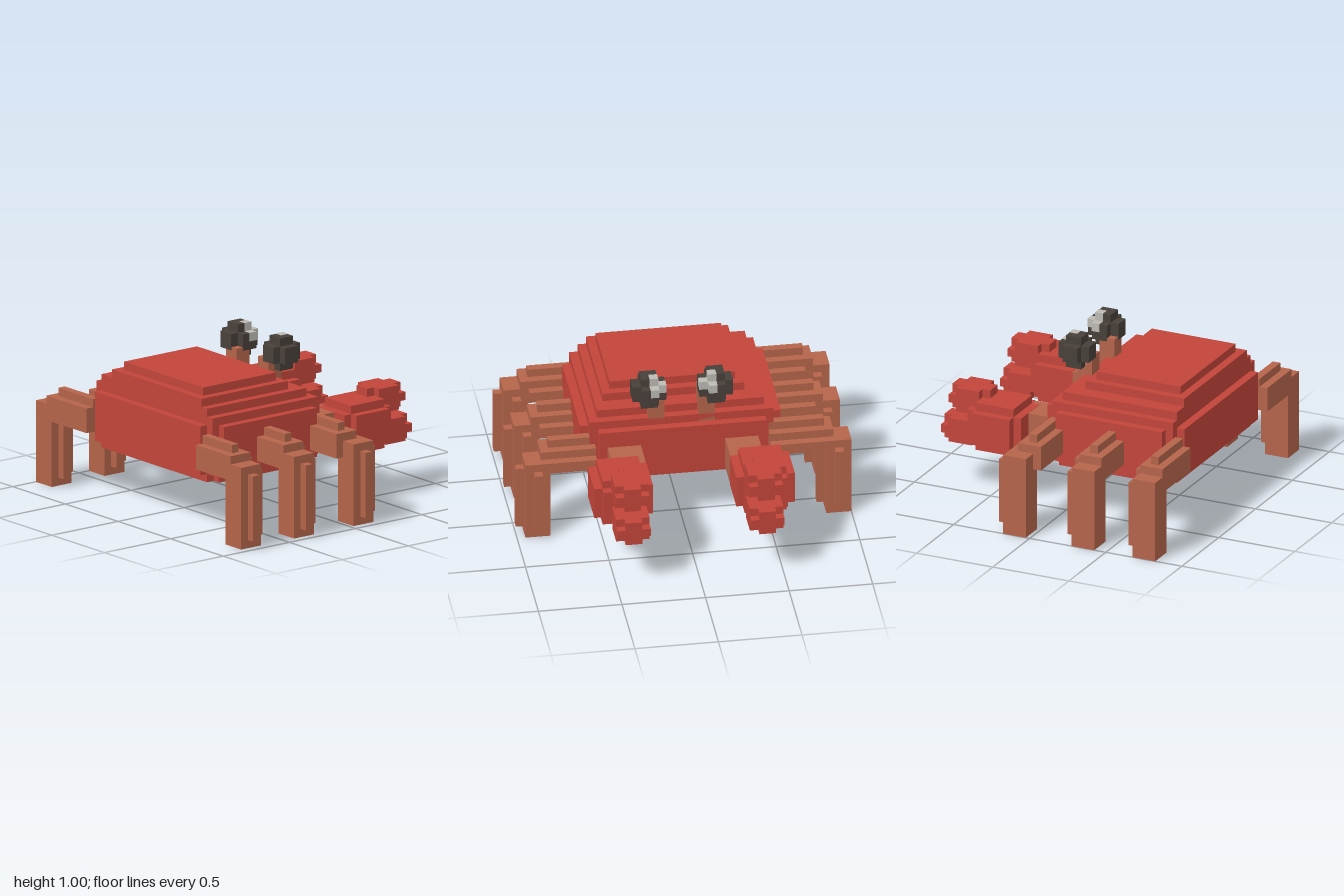
import * as THREE from 'three';
import { mergeGeometries } from 'three/addons/utils/BufferGeometryUtils.js';

const V = 0.05; // edge of one block

const mat = (name, color) => {
  const m = new THREE.MeshStandardMaterial({ color });
  m.name = name;
  return m;
};

// Box from its extents
function box(x0, x1, y0, y1, z0, z1) {
  return new THREE.BoxGeometry(x1 - x0, y1 - y0, z1 - z0)
    .translate((x0 + x1) / 2, (y0 + y1) / 2, (z0 + z1) / 2);
}

// Blocky ball: every edge loses one row of blocks
function blob(x0, x1, y0, y1, z0, z1) {
  return [
    box(x0, x1, y0 + V, y1 - V, z0 + V, z1 - V),
    box(x0 + V, x1 - V, y0, y1, z0 + V, z1 - V),
    box(x0 + V, x1 - V, y0 + V, y1 - V, z0, z1),
  ];
}

// Box with only its eight corner blocks missing
function chipped(x0, x1, y0, y1, z0, z1) {
  return [
    box(x0 + V, x1 - V, y0, y1, z0, z1),
    box(x0, x1, y0 + V, y1 - V, z0, z1),
    box(x0, x1, y0, y1, z0 + V, z1 - V),
  ];
}

function part(parent, name, material, boxes) {
  const mesh = new THREE.Mesh(mergeGeometries(boxes), material);
  mesh.name = name;
  parent.add(mesh);
}

// Box placed on the +z or -z side by distance from the middle
function sideBox(s, x0, x1, y0, y1, a, b) {
  return box(x0, x1, y0, y1, Math.min(s * a, s * b), Math.max(s * a, s * b));
}

export function createModel() {
  const red = mat('shell red', 0xc2453a);
  const brown = mat('limb brown', 0xb4644a);
  const dark = mat('eye dark', 0x48403a);
  const light = mat('eye light', 0xbdbab3);
  const crab = new THREE.Group();
  crab.name = 'crab';

  // Shell: wide belly with clipped corners, then shrinking layers
  part(crab, 'shell', red, [
    box(-0.725, 0.075, 0.3, 0.35, -0.5, 0.5),
    box(-0.675, 0.025, 0.3, 0.35, -0.55, 0.55),
    box(-0.775, 0.125, 0.35, 0.65, -0.5, 0.5),
    box(-0.725, 0.075, 0.35, 0.65, -0.55, 0.55),
    box(-0.675, 0.025, 0.35, 0.65, -0.6, 0.6),
    box(-0.725, 0.075, 0.65, 0.7, -0.55, 0.55),
    box(-0.725, 0.025, 0.7, 0.75, -0.5, 0.5),
    box(-0.725, -0.075, 0.75, 0.8, -0.4, 0.45),
    box(-0.675, -0.125, 0.8, 0.85, -0.35, 0.4),
  ]);

  for (const s of [1, -1]) {
    const side = s > 0 ? 'front' : 'back';

    // Walking legs: ridged thigh out from the shell, shin down to the ground
    [-0.825, -0.425, 0.025].forEach((x, i) => {
      const leg = new THREE.Group();
      leg.name = `${side}Leg${i + 1}`;
      crab.add(leg);
      const ax = i === 2 ? x - V : x;
      const reach = s > 0 ? 0.85 : 0.9;
      const z0 = s > 0 ? 0.8 : -1;
      part(leg, 'thigh', brown, [
        sideBox(s, ax, ax + 0.15, 0.4, 0.55, 0.52, reach),
        sideBox(s, ax + V, ax + 0.1, 0.55, 0.6, 0.52, reach - V),
        sideBox(s, ax + 0.15, ax + 0.2, 0.45, 0.5, 0.52, reach - V),
      ]);
      part(leg, 'shin', brown, [
        box(x, x + 0.15, 0, 0.5, z0, z0 + 0.15),
        box(x + V, x + 0.1, 0.05, 0.45, z0 + 0.15, z0 + 0.2),
        box(x + 0.15, x + 0.2, 0.05, 0.45, z0 + V, z0 + 0.1),
      ]);
    });

    // Claw: arm, rounded palm and two pincers
    const claw = new THREE.Group();
    claw.name = `${side}Claw`;
    crab.add(claw);
    const [p0, p1] = s > 0 ? [0.25, 0.6] : [-0.6, -0.25];
    const [q0, q1] = s > 0 ? [0.3, 0.5] : [-0.5, -0.3];
    part(claw, 'arm', brown, [sideBox(s, 0.06, 0.325, 0.352, 0.548, 0.252, 0.45)]);
    part(claw, 'palm', red, blob(0.275, 0.625, 0.3, 0.6, p0, p1));
    part(claw, 'upperPincer', red, chipped(0.525, 0.775, 0.5, 0.65, q0, q1));
    part(claw, 'lowerPincer', red, chipped(0.575, 0.825, 0.3, 0.45, q0, q1));

    // Eye on its stalk, with a few bright blocks facing forward
    const eye = new THREE.Group();
    eye.name = `${side}Eye`;
    crab.add(eye);
    const [e0, e1] = s > 0 ? [0.1, 0.3] : [-0.3, -0.1];
    const e = 0.002;
    part(eye, 'stalk', brown, [sideBox(s, -0.023, 0.075, 0.6, 0.87, 0.102, 0.2)]);
    part(eye, 'eyeball', dark, blob(-0.025, 0.175, 0.8, 1, e0, e1));
    part(eye, 'glint', light, [
      sideBox(s, 0.075, 0.125 + e, 0.95, 1 + e, 0.15 - e, 0.2),
      sideBox(s, 0.125, 0.175 + e, 0.9, 0.95 + e, 0.15 - e, 0.2),
      sideBox(s, 0.075, 0.125 + e, 0.9, 0.95 + e, 0.1 - e, 0.15),
    ]);
  }
  return crab;
}
